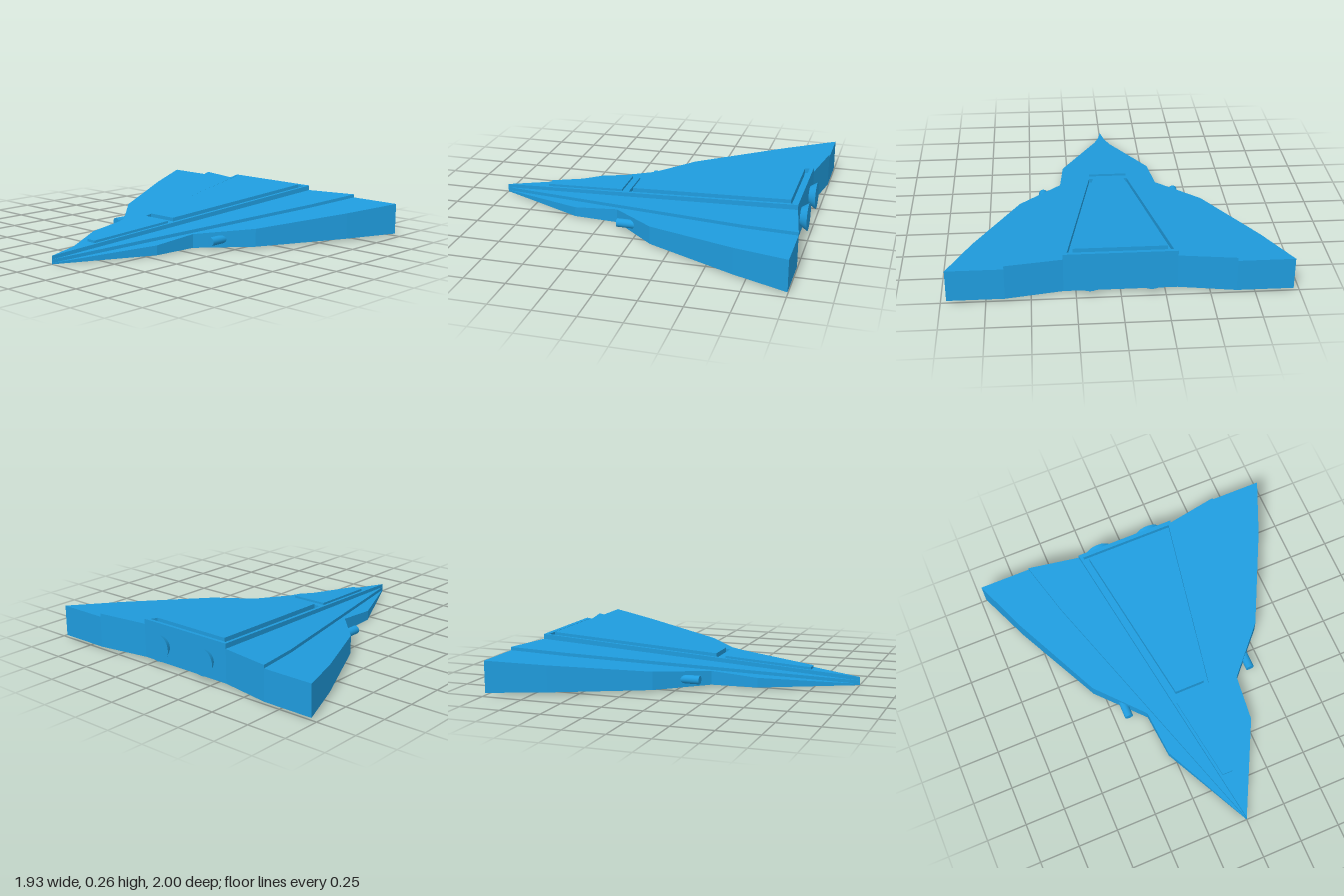
import * as THREE from 'three';

const material = new THREE.MeshStandardMaterial({ color: 0x1f9cde, flatShading: true });

// Sloping plane: height a at the nose (z = 1), height b at the tail (z = -1)
const plane = (a, b) => (z) => a + (b - a) * (1 - z) / 2;
const underside = plane(0, 0.014);
const wingTop = plane(0.008, 0.205);
const deckTop = plane(0.028, 0.225);
const spineTop = plane(0.05, 0.256);
const panelTop = plane(0.066, 0.267);

// Full outline from the points of its +x half, given as [x, z]
function mirrored(half) {
  const other = half.filter(([x]) => x > 0).map(([x, z]) => [-x, z]).reverse();
  return [...half, ...other].map(([x, z]) => new THREE.Vector2(x, -z));
}

// Slab with a plan outline, filling the space between two sloping planes
function slab(name, half, bottom, top, hole) {
  const shape = new THREE.Shape(mirrored(half));
  if (hole) shape.holes.push(new THREE.Path(mirrored(hole)));
  const geometry = new THREE.ExtrudeGeometry(shape, { depth: 1, bevelEnabled: false });
  geometry.rotateX(-Math.PI / 2);
  const p = geometry.attributes.position;
  for (let i = 0; i < p.count; i++) {
    const z = p.getZ(i);
    p.setY(i, p.getY(i) > 0.5 ? top(z) : bottom(z));
  }
  geometry.computeVertexNormals();
  const mesh = new THREE.Mesh(geometry, material);
  mesh.name = name;
  return mesh;
}

// Round part lying along z, from z0 (radius r0) to z1 (radius r1)
function rod(name, x, y, z0, z1, r0, r1) {
  const geometry = new THREE.CylinderGeometry(r1, r0, z1 - z0, 24);
  geometry.rotateX(Math.PI / 2);
  const smooth = material.clone();
  smooth.flatShading = false;
  const mesh = new THREE.Mesh(geometry, smooth);
  mesh.position.set(x, y, (z0 + z1) / 2);
  mesh.name = name;
  return mesh;
}

export function createModel() {
  const model = new THREE.Group();
  model.name = 'wedgeShip';

  // Stepped hull: broad wings, raised deck, narrow spine with a recess
  model.add(slab('wingHull', [
    [0, 1], [0.28, 0.44], [0.305, 0.16], [0.56, -0.12], [0.83, -0.67],
    [0.967, -1], [0.645, -1], [0.32, -0.945],
  ], underside, wingTop));
  model.add(slab('upperDeck', [
    [0, 1], [0.555, -0.67], [0.645, -1], [0.32, -0.945],
  ], wingTop, deckTop));
  model.add(slab('spine', [[0, 1], [0.32, -0.945]], deckTop, spineTop,
    [[0.12, 0.14], [0.297, -0.92]]));

  // Raised panels on the spine
  model.add(slab('rearPanel', [[0.095, 0.12], [0.265, -0.895]], deckTop, panelTop));
  model.add(slab('frontPanel', [[0.032, 0.705], [0.117, 0.185]], spineTop, panelTop));

  // Paired guns and flared engine nozzles
  for (const side of [1, -1]) {
    model.add(rod('gun', side * 0.415, 0.055, -0.08, 0.125, 0.026, 0.026));
    model.add(rod('engineNozzle', side * 0.173, 0.12, -0.99, -0.94, 0.085, 0.052));
  }
  return model;
}
